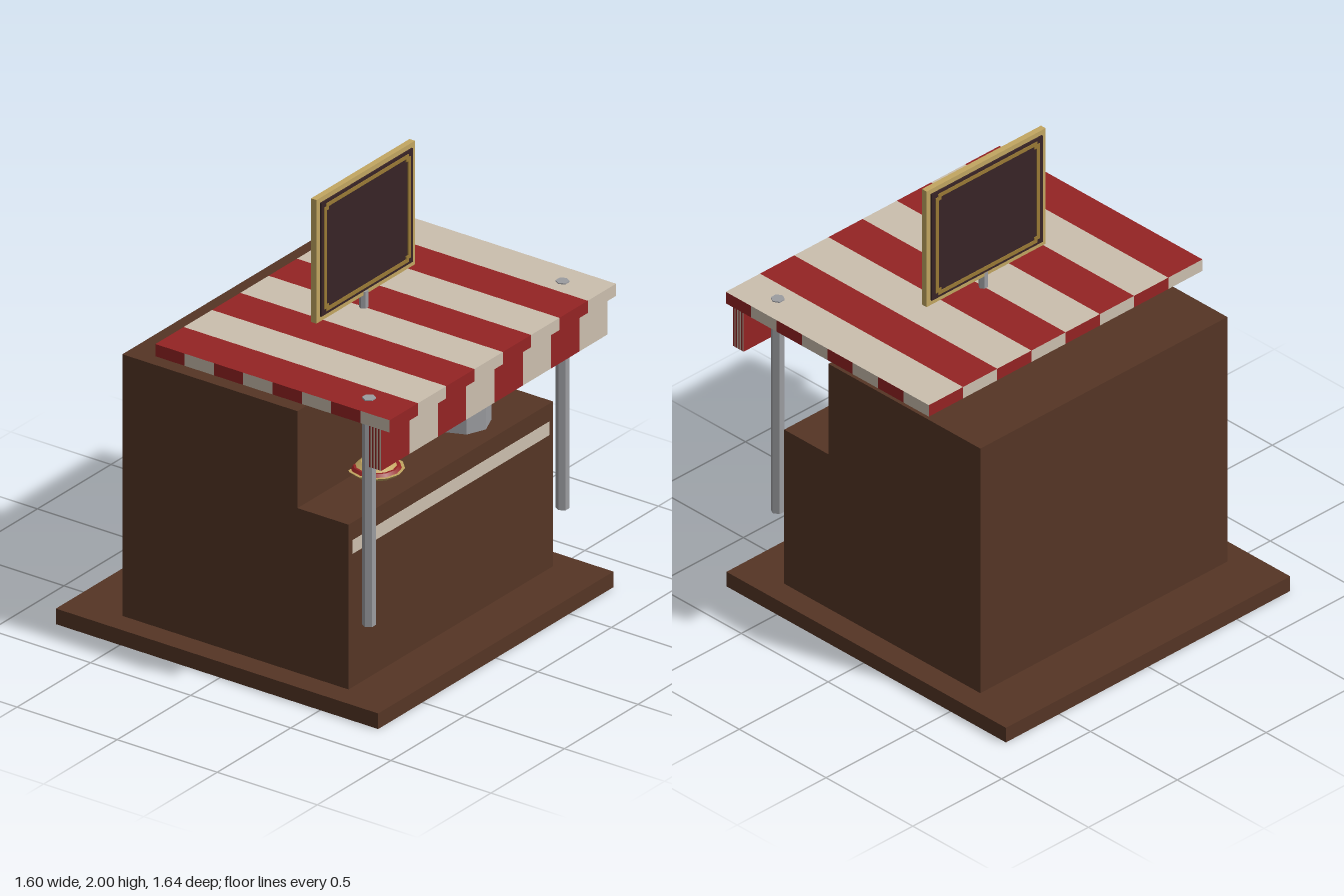
import * as THREE from 'three';

const mat = (name, color, extra = {}) => {
  const m = new THREE.MeshStandardMaterial({ color, ...extra });
  m.name = name;
  return m;
};

export function createModel() {
  const wood = mat('brown wood', 0x553525);
  const red = mat('awning red', 0x942323);
  const cream = mat('awning cream', 0xcbbfae);
  const metal = mat('grey metal', 0x9b9ca0, { flatShading: true });
  const gold = mat('pale gold', 0xc2a661);
  const trimGold = mat('dark gold', 0x9a7a35);
  const panel = mat('dark panel', 0x382426);

  const group = new THREE.Group();
  const add = (name, geometry, material) => {
    const mesh = new THREE.Mesh(geometry, material);
    mesh.name = name;
    group.add(mesh);
    return mesh;
  };
  // Box given by its minimum and maximum on each axis
  const box = (name, material, [x0, x1], [y0, y1], [z0, z1], seg = [1, 1, 1]) => {
    const g = new THREE.BoxGeometry(x1 - x0, y1 - y0, z1 - z0, ...seg);
    g.translate((x0 + x1) / 2, (y0 + y1) / 2, (z0 + z1) / 2);
    return add(name, g, material);
  };
  // Upright prism between two heights
  const prism = (name, material, x, z, y0, y1, rTop, rBottom, sides, turn = 0) => {
    const g = new THREE.CylinderGeometry(rTop, rBottom, y1 - y0, sides);
    g.rotateY(turn).translate(x, (y0 + y1) / 2, z);
    return add(name, g, material);
  };
  // Box with eight alternating stripes across every face
  const stripedBox = (name, xs, ys, zs) => {
    const mesh = box(name, [red, cream], xs, ys, zs, [8, 1, 8]);
    const g = mesh.geometry;
    g.clearGroups();
    for (let q = 0; q < g.index.count / 6; q++) g.addGroup(q * 6, 6, q % 2);
  };

  // Stand body
  box('base', wood, [-0.8, 0.8], [0, 0.07], [-0.82, 0.79]);
  box('backCabinet', wood, [-0.695, 0.695], [0.07, 1.245], [-0.565, 0.31]);
  box('counter', wood, [-0.695, 0.695], [0.07, 0.81], [0.31, 0.565]);
  box('counterStripe', cream, [-0.67, 0.67], [0.67, 0.73], [0.562, 0.567]);

  // Awning and its supports
  stripedBox('awning', [-0.77, 0.77], [1.33, 1.385], [-0.345, 0.825]);
  stripedBox('valance', [-0.77, 0.77], [1.145, 1.33], [0.722, 0.783]);
  for (const s of [-1, 1])
    prism(s < 0 ? 'rightPost' : 'leftPost', metal, s * 0.658, 0.64, 0.37, 1.39, 0.029, 0.029, 6, Math.PI / 6);

  // Sign
  prism('signPole', metal, 0, 0.13, 1.245, 1.46, 0.02, 0.02, 6, Math.PI / 6);
  box('signFrame', gold, [-0.335, 0.335], [1.445, 2], [0.113, 0.14]);
  box('signPanel', panel, [-0.312, 0.312], [1.468, 1.978], [0.106, 0.147]);

  // Thin border with stepped corners, showing on both sides of the sign
  const stepped = (w, h, n) => {
    const pts = [];
    for (const [sx, sy] of [[1, 1], [-1, 1], [-1, -1], [1, -1]]) {
      const corner = [[w, h - n], [w - n, h - n], [w - n, h]];
      if (sx * sy < 0) corner.reverse();
      for (const [x, y] of corner) pts.push(new THREE.Vector2(sx * x, sy * y));
    }
    return pts;
  };
  const ring = new THREE.Shape(stepped(0.293, 0.242, 0.014));
  ring.holes.push(new THREE.Path(stepped(0.276, 0.225, 0.014)));
  const ringGeometry = new THREE.ExtrudeGeometry(ring, { depth: 0.047, bevelEnabled: false });
  ringGeometry.translate(0, 1.723, 0.103);
  add('signBorder', ringGeometry, trimGold);

  // Things on the counter
  prism('pot', metal, 0.33, 0.38, 0.81, 0.91, 0.118, 0.118, 8);
  prism('lowerBun', gold, -0.257, 0.38, 0.825, 0.842, 0.118, 0.1, 12);
  prism('filling', red, -0.257, 0.38, 0.842, 0.854, 0.095, 0.105, 12);
  prism('upperBun', gold, -0.257, 0.38, 0.854, 0.868, 0.062, 0.085, 12);

  return group;
}
